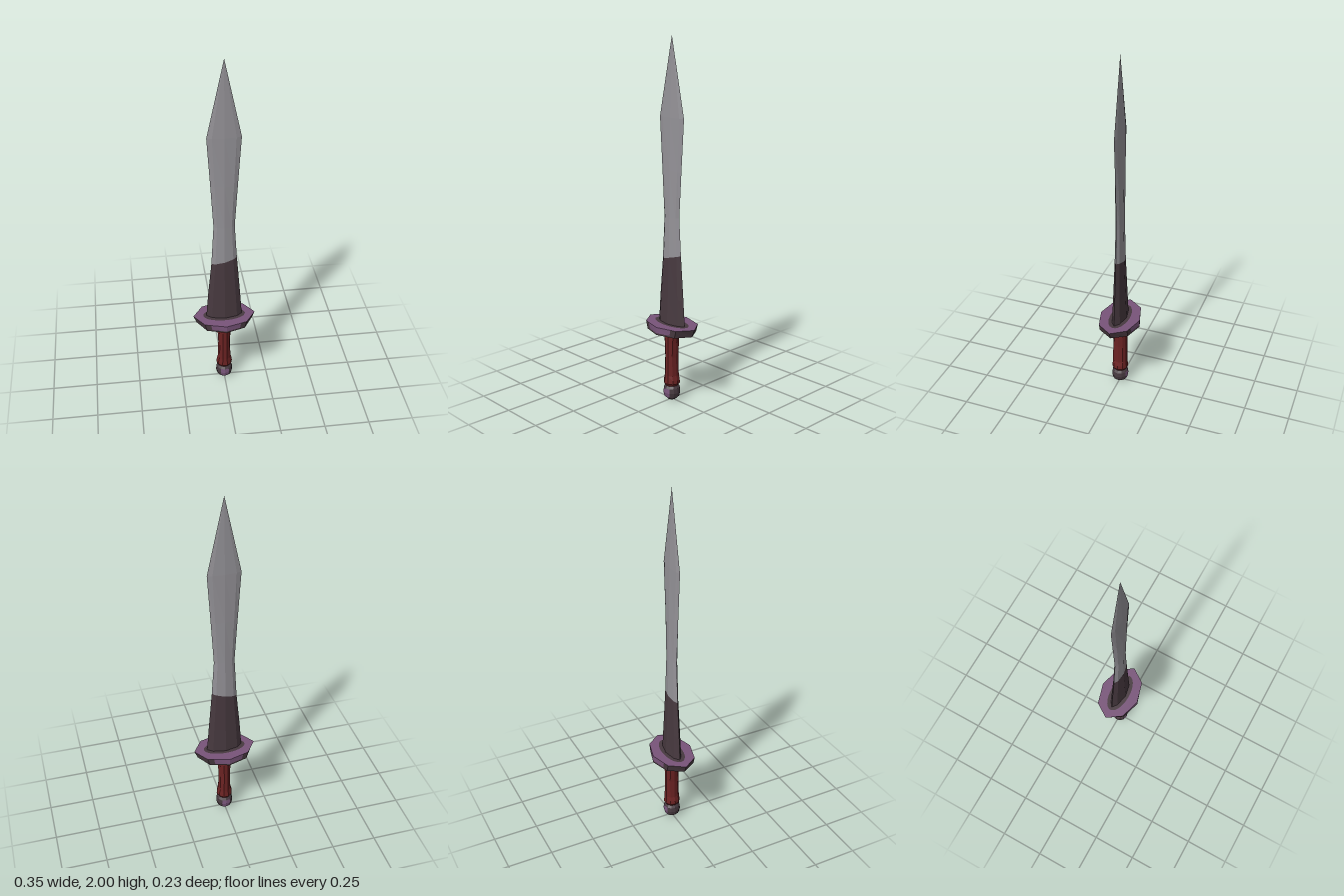
import * as THREE from 'three';

const material = (name, color) => Object.assign(new THREE.MeshStandardMaterial({ color }), { name });

// Unit outlines in the x/z plane, running from +x towards +z
const circle = n => Array.from({ length: n }, (_, i) => {
  const a = (i / n) * Math.PI * 2;
  return [Math.cos(a), Math.sin(a)];
});
const mirrorOutline = quarter => { // quarter runs from +x to +z, both ends included
  const half = [...quarter, ...quarter.slice(0, -1).reverse().map(([x, z]) => [-x, z])];
  return [...half, ...half.slice(1, -1).reverse().map(([x, z]) => [x, -z])];
};
const ring = (outline, y, w, d) => outline.map(([x, z]) => new THREE.Vector3(x * w, y, z * d));

// Flat-shaded skin over rings listed bottom to top; pick(row, column) chooses a material index
function loft(name, rings, materials, pick = () => 0) {
  const buckets = materials.map(() => []);
  for (let i = 0; i < rings.length - 1; i++) {
    const n = rings[i].length;
    for (let j = 0; j < n; j++) {
      const k = (j + 1) % n;
      const a = rings[i][j], b = rings[i][k], c = rings[i + 1][k], d = rings[i + 1][j];
      buckets[pick(i, j)].push(a, d, c, a, c, b);
    }
  }
  const geometry = new THREE.BufferGeometry().setFromPoints(buckets.flat());
  let start = 0;
  buckets.forEach((points, m) => {
    geometry.addGroup(start, points.length, m);
    start += points.length;
  });
  geometry.computeVertexNormals();
  const mesh = new THREE.Mesh(geometry, materials);
  mesh.name = name;
  return mesh;
}

export function createModel() {
  const steel = material('steel', 0x949297);
  const dark = material('darkMetal', 0x47393f);
  const purple = material('purpleMetal', 0x785479);
  const red = material('redGrip', 0x6c2323);
  const group = new THREE.Group();
  group.name = 'sword';

  // Blade: leaf-shaped, split at a slightly slanted seam
  const section = mirrorOutline([[1, 0], [0.7, 0.62], [0, 1]]);
  const seam = ring(section, 0.828, 0.07, 0.023);
  seam.forEach(p => { p.y += p.x * 0.25; });
  const bladeRing = ([y, w, d]) => ring(section, y, w, d);
  group.add(loft('bladeBase', [
    ...[[0.45, 0.101, 0.038], [0.6, 0.09, 0.031]].map(bladeRing), seam,
  ], [dark]));
  group.add(loft('blade', [
    seam,
    ...[[1.05, 0.057, 0.019], [1.3, 0.072, 0.016], [1.58, 0.09, 0.013], [2, 0, 0]].map(bladeRing),
  ], [steel]));

  // Guard: eight-sided plate with purple front and back, dark ends and underside
  const guardOutline = mirrorOutline([[0.175, 0], [0.118, 0.083], [0.085, 0.0923], [0, 0.116]]);
  const onFace = j => [2, 3, 8, 9].includes(j);
  group.add(loft('guardBody', [
    ring(guardOutline, 0.395, 0, 0),
    ring(guardOutline, 0.395, 0.4, 0.5),
    ring(guardOutline, 0.412, 0.9, 1),
    ring(guardOutline, 0.422, 0.92, 1),
    ring(guardOutline, 0.455, 1, 1),
  ], [dark, purple], (i, j) => (i === 3 && onFace(j) ? 1 : 0)));

  // Guard top: purple rim around a dark oval
  const oval = circle(28).map(([x, z]) => new THREE.Vector2(x * 0.119, z * 0.056));
  const rim = new THREE.Shape(guardOutline.map(([x, z]) => new THREE.Vector2(x, z)));
  rim.holes.push(new THREE.Path(oval));
  for (const [name, shape, mat] of [['guardRim', rim, purple], ['guardOval', new THREE.Shape(oval), dark]]) {
    const mesh = new THREE.Mesh(new THREE.ShapeGeometry(shape), mat);
    mesh.name = name;
    mesh.rotation.x = -Math.PI / 2;
    mesh.position.y = 0.455;
    group.add(mesh);
  }

  // Grip: waisted from the front, nearly straight from the side
  const grip = [[0.09, 0.036, 0.036], [0.105, 0.046, 0.046], [0.125, 0.044, 0.044], [0.15, 0.037, 0.042],
    [0.26, 0.034, 0.041], [0.34, 0.038, 0.041], [0.4, 0.045, 0.043]];
  group.add(loft('grip', grip.map(([y, w, d]) => ring(circle(10), y, w, d)), [red]));

  // Pommel: faceted ball with a purple patch on front and back
  const pommel = [[0.005, 0], [0.008, 0.024], [0.025, 0.042], [0.05, 0.048], [0.075, 0.045], [0.095, 0.032], [0.1, 0]];
  group.add(loft('pommel', pommel.map(([y, r]) => ring(circle(12), y, r, r)), [dark, purple],
    (i, j) => ((i === 2 || i === 3) && [2, 3, 8, 9].includes(j) ? 1 : 0)));

  return group;
}
